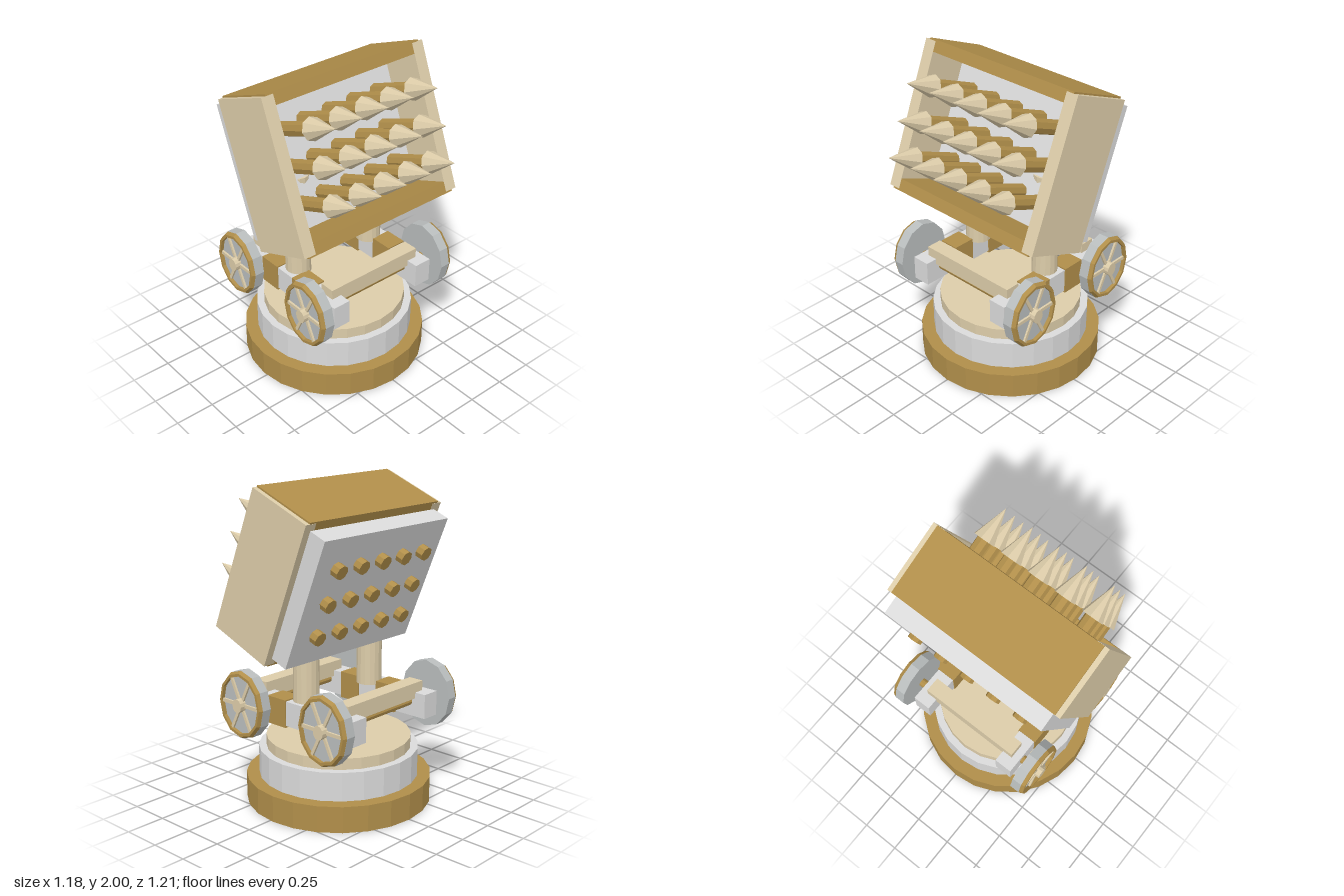
import * as THREE from 'three';

const mat = (name, color, extra = {}) => {
  const m = new THREE.MeshStandardMaterial({ color, ...extra });
  m.name = name;
  return m;
};

export function createModel() {
  const gold = mat('gold', 0xb08e4a, { flatShading: true });
  const tan = mat('tan', 0xdccca9, { flatShading: true });
  const silver = mat('silver', 0xdadada, { flatShading: true });
  const wheelGrey = mat('wheelGrey', 0xb9bdbd, { flatShading: true });

  const model = new THREE.Group();
  model.name = 'launcher';

  const add = (parent, name, geo, material, x = 0, y = 0, z = 0) => {
    const mesh = new THREE.Mesh(geo, material);
    mesh.name = name;
    mesh.position.set(x, y, z);
    parent.add(mesh);
    return mesh;
  };
  const box = (w, h, d) => new THREE.BoxGeometry(w, h, d);
  const cyl = (r, h, n) => new THREE.CylinderGeometry(r, r, h, n);

  const midZ = -0.026;
  const axleY = 0.642;

  // Round stepped base
  add(model, 'baseBottom', cyl(0.58, 0.165, 24), gold, 0, 0.0825, midZ);
  add(model, 'baseMiddle', cyl(0.5, 0.18, 24), silver, 0, 0.255, midZ);
  add(model, 'baseTop', cyl(0.453, 0.07, 24), tan, 0, 0.38, midZ);

  // Wheel, built facing +x with its inner face at x = 0
  const wheel = () => {
    const g = new THREE.Group();
    g.name = 'wheel';
    g.scale.set(1, 1, 0.86);
    add(g, 'wheelDisc', cyl(0.217, 0.065, 12).rotateZ(-Math.PI / 2), wheelGrey, 0.0325);
    const profile = [[0.185, 0.064], [0.217, 0.064], [0.203, 0.088], [0.185, 0.088], [0.185, 0.064]]
      .map(([r, h]) => new THREE.Vector2(r, h));
    add(g, 'wheelRim', new THREE.LatheGeometry(profile, 12).rotateZ(-Math.PI / 2), gold);
    for (let i = 0; i < 3; i++) {
      const spoke = add(g, 'spokes', box(0.016, 0.022, 0.38), tan, 0.07);
      spoke.rotation.x = (i * Math.PI) / 3;
    }
    add(g, 'hub', cyl(0.044, 0.05, 12).rotateZ(-Math.PI / 2), tan, 0.083);
    return g;
  };

  // Axles with cross bars and wheels
  for (const z of [0.313, -0.366]) {
    add(model, 'axle', cyl(0.028, 1.06, 10).rotateZ(Math.PI / 2), gold, 0, 0.632, z);
    add(model, 'crossBar', box(0.68, 0.1, 0.1), tan, 0, 0.708, z);
    for (const side of [1, -1]) {
      const w = wheel();
      w.position.set(side * 0.437, axleY, z);
      if (side < 0) w.rotation.y = Math.PI;
      model.add(w);
    }
  }

  // Side rails and pillars
  for (const side of [1, -1]) {
    const x = side * 0.33;
    add(model, 'railMiddle', box(0.117, 0.155, 0.155), silver, x, 0.618, midZ);
    for (const end of [1, -1]) {
      add(model, 'railLink', box(0.13, 0.175, 0.15), gold, x, 0.616, midZ + end * 0.148);
      add(model, 'railEnd', box(0.117, 0.155, 0.245), silver, x, 0.618, midZ + end * 0.3425);
    }
    add(model, 'pillar', cyl(0.08, 0.69, 16), tan, side * 0.286, 1.025, midZ);
  }

  // Tilted launcher box
  const head = new THREE.Group();
  head.name = 'launcherBox';
  head.position.set(0, 1.48, 0.048);
  head.rotation.x = -THREE.MathUtils.degToRad(22);
  model.add(head);
  for (const s of [1, -1]) {
    add(head, s > 0 ? 'topPanel' : 'bottomPanel', box(1.12, 0.074, 0.442), gold, 0, s * 0.4355, 0);
    add(head, 'sidePanel', box(0.08, 0.925, 0.445), tan, s * 0.551, 0, 0);
  }
  add(head, 'backPlate', box(1.085, 0.84, 0.29), silver, 0, 0, -0.195);

  // Grid of spikes passing through the plate
  const shaft = cyl(0.045, 0.69, 8).rotateX(Math.PI / 2);
  const tip = new THREE.ConeGeometry(0.071, 0.212, 8).rotateX(Math.PI / 2);
  for (let col = -2; col <= 2; col++) {
    for (let row = -1; row <= 1; row++) {
      add(head, 'spikeShaft', shaft, gold, col * 0.1875, row * 0.223, -0.045);
      add(head, 'spikeTip', tip, tan, col * 0.1875, row * 0.223, 0.404);
    }
  }

  return model;
}
